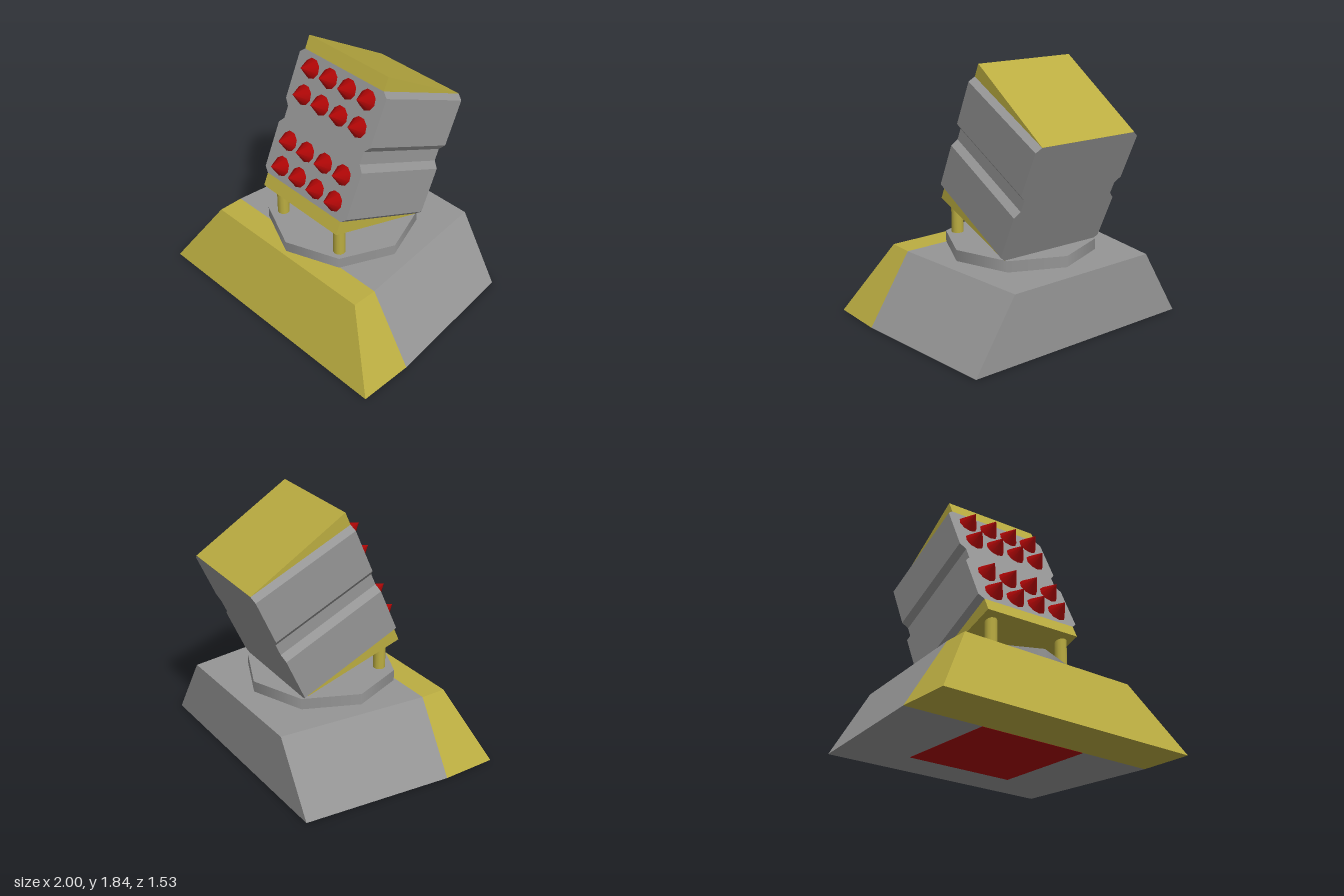
import * as THREE from 'three';

const paint = (color, flatShading = true) => new THREE.MeshStandardMaterial({ color, flatShading });

export function createModel() {
  const grey = paint(0x969696);
  const smoothGrey = paint(0x969696, false);
  const yellow = paint(0xbbad41);
  const smoothYellow = paint(0xbbad41, false);
  const red = paint(0xaa0606);
  const smoothRed = paint(0xaa0606, false);

  const add = (parent, name, geometry, material, x = 0, y = 0, z = 0) => {
    const mesh = new THREE.Mesh(geometry, material);
    mesh.name = name;
    mesh.position.set(x, y, z);
    parent.add(mesh);
    return mesh;
  };

  // Four corners of a cross-section: bottom left, bottom right, top right, top left
  const section = (b0, b1, t0, t1, y0, y1, z0, z1) =>
    [[b0, y0, z0], [b1, y0, z0], [t1, y1, z1], [t0, y1, z1]];

  // Six-sided block between a front and a back cross-section
  const block = (f, b) => {
    const quads = [[f[0], f[1], f[2], f[3]], [b[1], b[0], b[3], b[2]]];
    for (let i = 0; i < 4; i++) {
      const j = (i + 1) % 4;
      quads.push([f[i], b[i], b[j], f[j]]);
    }
    const points = quads.flatMap(([p, q, r, s]) => [p, q, r, p, r, s]).flat();
    const geometry = new THREE.BufferGeometry();
    geometry.setAttribute('position', new THREE.Float32BufferAttribute(points, 3));
    geometry.computeVertexNormals();
    return geometry;
  };

  const model = new THREE.Group();
  model.name = 'rocketTurret';

  // Sloped base: yellow nose, grey hull and the red panel underneath
  const bottom = 0.001, deck = 0.495;
  const nose = section(-1, 1, -0.7, 0.685, bottom, deck, 0.765, 0.555);
  const joint = section(-1, 1, -0.7, 0.685, bottom, deck, 0.37, 0.37);
  const rear = section(-0.88, 0.88, -0.585, 0.57, bottom, deck, -0.7, -0.7);
  add(model, 'baseNose', block(nose, joint), yellow);
  add(model, 'baseHull', block(joint, rear), grey);
  add(model, 'bottomPanel', new THREE.BoxGeometry(0.84, 0.01, 0.79), red, 0, 0.005, -0.025);

  // Turntable and posts, turned slightly to one side
  const turret = new THREE.Group();
  turret.name = 'turret';
  turret.position.set(-0.01, 0, -0.015);
  turret.rotation.y = -0.034;
  model.add(turret);
  add(turret, 'turntable', new THREE.CylinderGeometry(0.535, 0.535, 0.08, 8), smoothGrey, 0, 0.535, 0);
  for (const side of [-1, 1]) {
    add(turret, 'supportPost', new THREE.CylinderGeometry(0.043, 0.043, 0.23, 12), smoothYellow, 0.02 + side * 0.297, 0.685, 0.32);
  }

  // Launcher head, tipped upward
  const head = new THREE.Group();
  head.name = 'launcherHead';
  head.position.set(0, 1.157, -0.197);
  head.rotation.set(-0.424, -0.034, 0);
  model.add(head);

  const H = 0.465, D = 0.8, W = 0.418, N = 0.378;

  // Two stacked pods, chamfered outside and necked in where they meet
  const half = [[N, 0], [N, 0.045], [W, 0.09], [W, H - 0.035], [N, H]];
  for (const side of [1, -1]) {
    const outline = [...half, ...half.map(([x, y]) => [-x, y]).reverse()];
    const shape = new THREE.Shape(outline.map(([x, y]) => new THREE.Vector2(x, side * y)));
    const pod = new THREE.ExtrudeGeometry(shape, { depth: D, bevelEnabled: false });
    add(head, side > 0 ? 'upperPod' : 'lowerPod', pod, grey, 0, 0, -D / 2);
  }

  // Yellow wedges above and below, tapering out toward the back
  const lip = 0.098, thin = 0.001;
  const slab = (y0, y1, z) => section(-N, N, -N, N, y0, y1, z, z);
  add(head, 'topWedge', block(slab(H, H + lip, D / 2), slab(H, H + thin, -D / 2)), yellow);
  add(head, 'bottomWedge', block(slab(-H - lip, -H, D / 2), slab(-H - thin, -H, -D / 2)), yellow);

  // Rocket tips in four rows of four
  const tip = new THREE.ConeGeometry(0.0725, 0.105, 9).rotateX(Math.PI / 2);
  for (const y of [0.363, 0.172, -0.172, -0.363]) {
    for (const x of [-0.27, -0.09, 0.09, 0.27]) {
      add(head, 'rocketTip', tip, smoothRed, x, y, D / 2 + 0.0525);
    }
  }

  return model;
}
